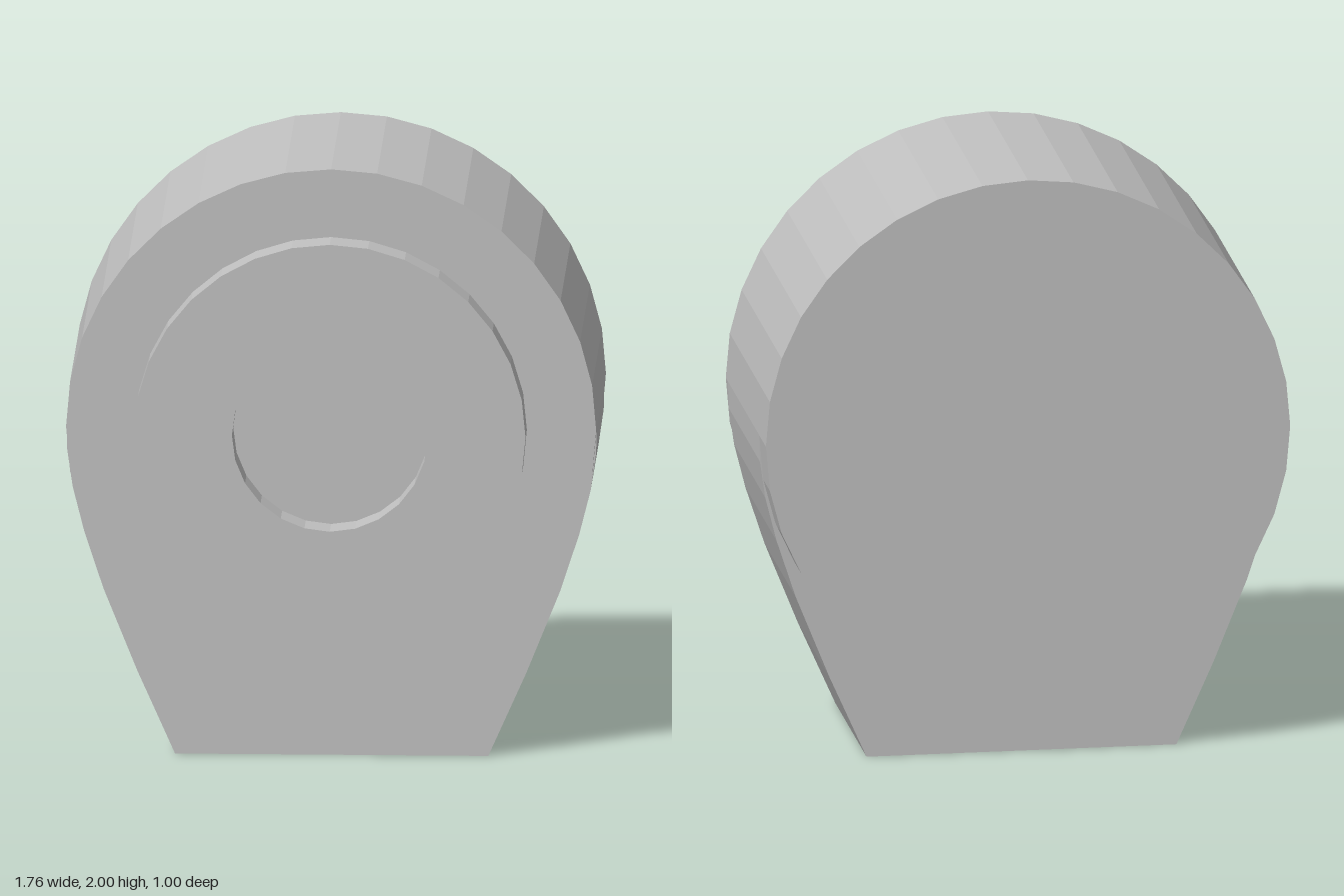
import * as THREE from 'three';

const CY = 1.12; // height of the drum axis

export function createModel() {
  const group = new THREE.Group();
  const grey = new THREE.MeshStandardMaterial({ color: 0xc0c0c0, flatShading: true });
  grey.name = 'light grey';

  const add = (name, geometry, y, z) => {
    const mesh = new THREE.Mesh(geometry, grey);
    mesh.name = name;
    mesh.position.set(0, y, z);
    group.add(mesh);
  };

  // regular polygon with a corner at the top
  const circle = (r, sides, Type) => new Type(Array.from({ length: sides }, (_, i) => {
    const a = Math.PI / 2 + (i / sides) * Math.PI * 2;
    return new THREE.Vector2(r * Math.cos(a), r * Math.sin(a));
  }));
  const extrude = (shape, depth) => new THREE.ExtrudeGeometry(shape, { depth, bevelEnabled: false });

  // main drum
  add('drum', extrude(circle(0.88, 36, THREE.Shape), 0.88), CY, -0.5);

  // raised ring on the front with a round recess
  const ring = circle(0.65, 32, THREE.Shape);
  ring.holes.push(circle(0.325, 24, THREE.Path));
  add('frontRing', extrude(ring, 0.12), CY, 0.38);

  // stand: flat foot whose sides flare up and merge into the drum
  const side = [[0.52, 0], [0.645, 0.28], [0.758, 0.56], [0.822, 0.755], [0.86, 0.905], [0.878, 1.03], [0.88, 1.12], [0.8, 1.3]];
  const outline = [...side, ...side.map(([x, y]) => [-x, y]).reverse()];
  const stand = new THREE.Shape(outline.map(([x, y]) => new THREE.Vector2(x, y)));
  add('stand', extrude(stand, 0.685), 0, -0.355);

  return group;
}
